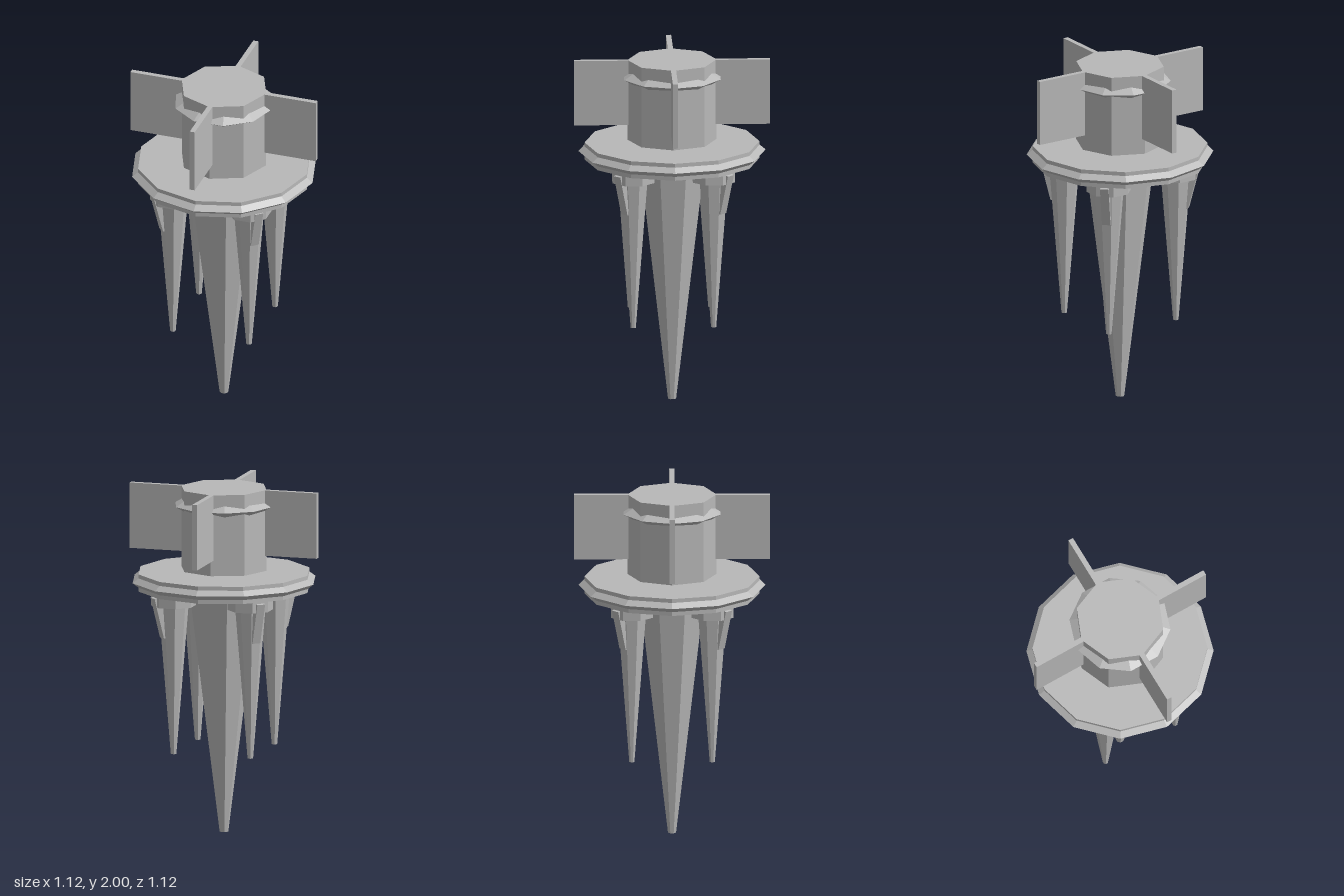
import * as THREE from 'three';

export function createModel() {
  const model = new THREE.Group();
  model.name = 'finnedSpike';
  const grey = new THREE.MeshStandardMaterial({ color: 0xb8b8b8, flatShading: true });
  grey.name = 'grey';

  const add = (parent, name, geometry, x = 0, y = 0, z = 0) => {
    const mesh = new THREE.Mesh(geometry, grey);
    mesh.name = name;
    mesh.position.set(x, y, z);
    parent.add(mesh);
    return mesh;
  };

  // Faceted prism or spike between two heights
  const prism = (parent, name, rTop, rBottom, y0, y1, sides, turn = 0, x = 0) => {
    const g = new THREE.CylinderGeometry(rTop, rBottom, y1 - y0, sides, 1, false, turn);
    return add(parent, name, g, x, (y0 + y1) / 2, 0);
  };

  // Ridge with a triangular section running round a part
  const ridge = (name, inner, outer, halfHeight, y, sides) => {
    const profile = [[inner, -halfHeight], [outer, 0], [inner, halfHeight]]
      .map(([r, h]) => new THREE.Vector2(r, h));
    add(model, name, new THREE.LatheGeometry(profile, sides).rotateY(Math.PI / 2), 0, y, 0);
  };

  // Hub with its collar ridge
  prism(model, 'hub', 0.255, 0.255, 1.53, 2, 8);
  ridge('hubRidge', 0.235, 0.29, 0.033, 1.903, 10);

  // Round plate with a pointed rim
  prism(model, 'plate', 0.5, 0.5, 1.415, 1.515, 12);
  ridge('plateRim', 0.5, 0.535, 0.027, 1.465, 12);

  // Long centre spike
  prism(model, 'centreSpike', 0.2, 0.025, 0, 1.415, 8, Math.PI / 8);

  // Brace: a slanted bar from the plate to the side of a small spike
  const braceShape = new THREE.Shape([[0.36, 1.16], [0.4, 1.16], [0.46, 1.395], [0.42, 1.405]]
    .map(([x, y]) => new THREE.Vector2(x, y)));
  const braceGeometry = new THREE.ExtrudeGeometry(braceShape, { depth: 0.05, bevelEnabled: false })
    .translate(0, 0, -0.025);

  for (let i = 0; i < 4; i++) {
    // Fins along the main axes
    const fin = new THREE.Group();
    fin.name = 'fin' + (i + 1);
    fin.rotation.y = i * Math.PI / 2;
    add(fin, 'finBlade', new THREE.BoxGeometry(0.315, 0.38, 0.03), 0.4025, 1.81, 0);
    model.add(fin);

    // Small spikes on the diagonals
    const leg = new THREE.Group();
    leg.name = 'sideSpike' + (i + 1);
    leg.rotation.y = (i + 0.5) * Math.PI / 2;
    prism(leg, 'spike', 0.092, 0.016, 0.48, 1.415, 8, Math.PI / 8, 0.325);
    prism(leg, 'spikeCollar', 0.13, 0.13, 1.345, 1.415, 8, Math.PI / 8, 0.325);
    add(leg, 'brace', braceGeometry);
    model.add(leg);
  }
  return model;
}
